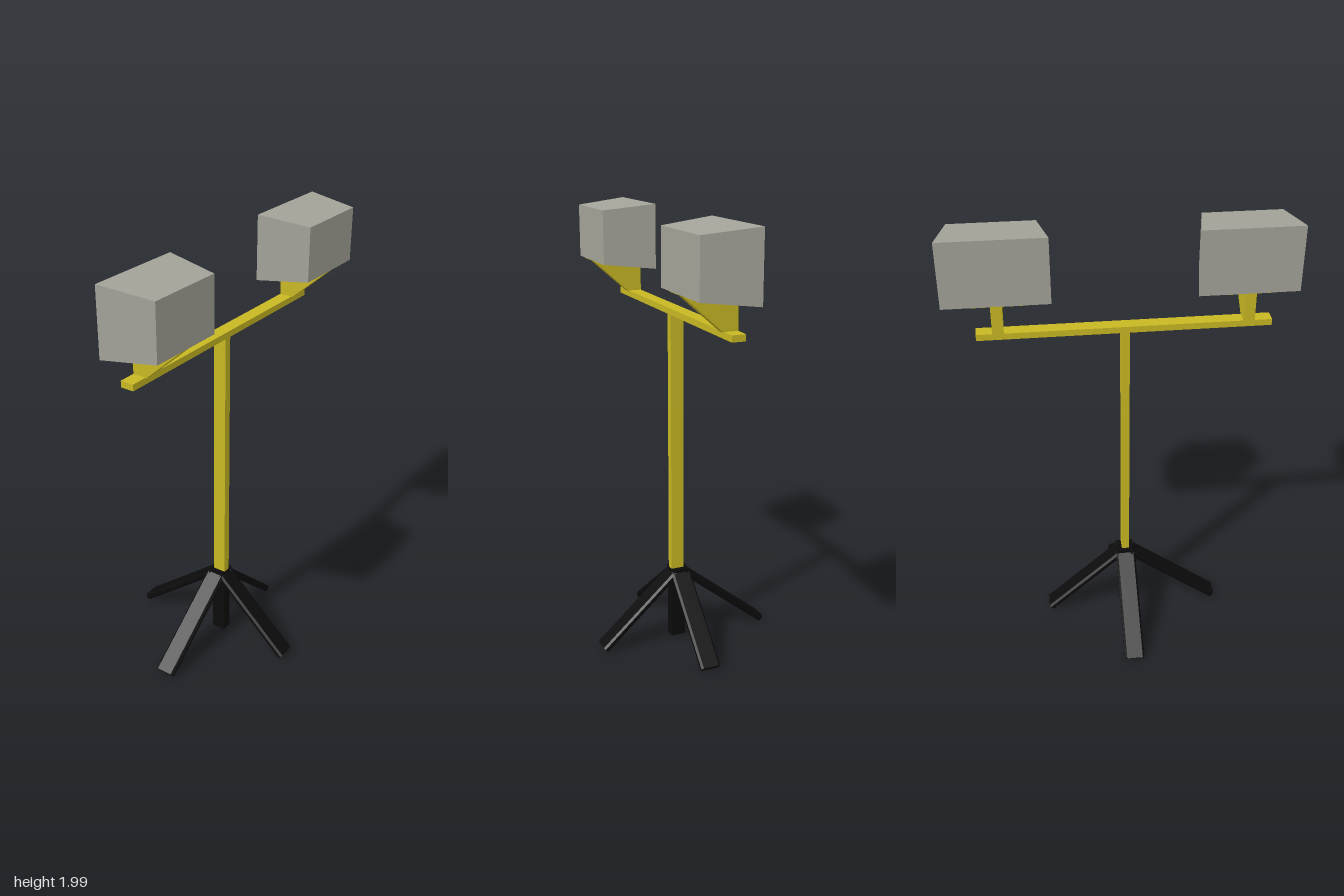
import * as THREE from 'three';

const paint = (name, color) => {
  const m = new THREE.MeshStandardMaterial({ color });
  m.name = name;
  return m;
};

export function createModel() {
  const yellow = paint('yellow paint', 0xc8b823);
  const grey = paint('lamp grey', 0xa3a399);
  const black = paint('leg black', 0x0b0b0b);
  const model = new THREE.Group();
  model.name = 'floodlightStand';

  const add = (name, geometry, material) => {
    const mesh = new THREE.Mesh(geometry, material);
    mesh.name = name;
    model.add(mesh);
    return mesh;
  };

  // Box from min and max corners
  const block = (x0, x1, y0, y1, z0, z1) =>
    new THREE.BoxGeometry(x1 - x0, y1 - y0, z1 - z0)
      .translate((x0 + x1) / 2, (y0 + y1) / 2, (z0 + z1) / 2);

  // Box tapering from a back rectangle to a front one, each [x0, x1, y0, y1]
  const taper = (back, front, z0, z1) => {
    const g = new THREE.BoxGeometry(1, 1, 1);
    const p = g.attributes.position;
    for (let i = 0; i < p.count; i++) {
      const r = p.getZ(i) > 0 ? front : back;
      p.setXYZ(i, r[p.getX(i) > 0 ? 1 : 0], r[p.getY(i) > 0 ? 3 : 2], p.getZ(i) > 0 ? z1 : z0);
    }
    g.computeVertexNormals();
    return g;
  };

  // Upright and crossbar
  add('post', block(-0.03, 0.005, 0.35, 1.56, 0, 0.06), yellow);
  add('crossbar', block(-0.635, 0.61, 1.557, 1.585, 0, 0.06), yellow);

  // Lamp heads with bracket and mounting plate
  const bracketShape = new THREE.Shape([
    new THREE.Vector2(0, 1.58), new THREE.Vector2(0.06, 1.58),
    new THREE.Vector2(0.235, 1.735), new THREE.Vector2(0, 1.712),
  ]);
  const lamps = [
    { side: 'right', x0: -0.745, x1: -0.315, mount: -0.536 },
    { side: 'left', x0: 0.292, x1: 0.742, mount: 0.518 },
  ];
  for (const { side, x0, x1, mount } of lamps) {
    add(side + 'LampHead',
      taper([x0, x1, 1.71, 2], [x0 + 0.041, x1 - 0.041, 1.735, 1.975], 0, 0.235), grey);
    add(side + 'Bracket',
      new THREE.ExtrudeGeometry(bracketShape, { depth: 0.048, bevelEnabled: false })
        .rotateY(-Math.PI / 2).translate(mount + 0.024, 0, 0), yellow);
    add(side + 'MountingPlate',
      taper([mount - 0.11, mount + 0.11, 1.707, 1.712],
        [mount - 0.11, mount + 0.11, 1.731, 1.736], 0.004, 0.23), yellow);
  }

  // Foot: centre column, hub and four flat splayed legs
  add('centreColumn', block(-0.036, 0.012, 0.015, 0.36, -0.005, 0.062), black);
  add('legHub', block(-0.052, 0.03, 0.325, 0.36, -0.02, 0.06), black);

  const w = 0.046, t = 0.016, c = 0.009;
  const section = new THREE.Shape([
    [-w + c, -t], [w - c, -t], [w, -t + c], [w, t - c],
    [w - c, t], [-w + c, t], [-w, t - c], [-w, -t + c],
  ].map(([x, y]) => new THREE.Vector2(x, y)));
  const legs = [
    ['rightLeg', [-0.035, 0.34, 0.02], [-0.45, 0.019, 0.02]],
    ['leftLeg', [0.012, 0.34, 0.02], [0.36, 0.019, 0.02]],
    ['frontLeg', [-0.012, 0.34, 0.045], [-0.012, 0.019, 0.398]],
    ['backLeg', [-0.012, 0.34, -0.002], [-0.012, 0.019, -0.403]],
  ];
  for (const [name, from, to] of legs) {
    const a = new THREE.Vector3(...from), b = new THREE.Vector3(...to);
    const leg = add(name, new THREE.ExtrudeGeometry(section,
      { depth: a.distanceTo(b), bevelEnabled: false }), black);
    leg.position.copy(a);
    leg.lookAt(b);
  }

  return model;
}
